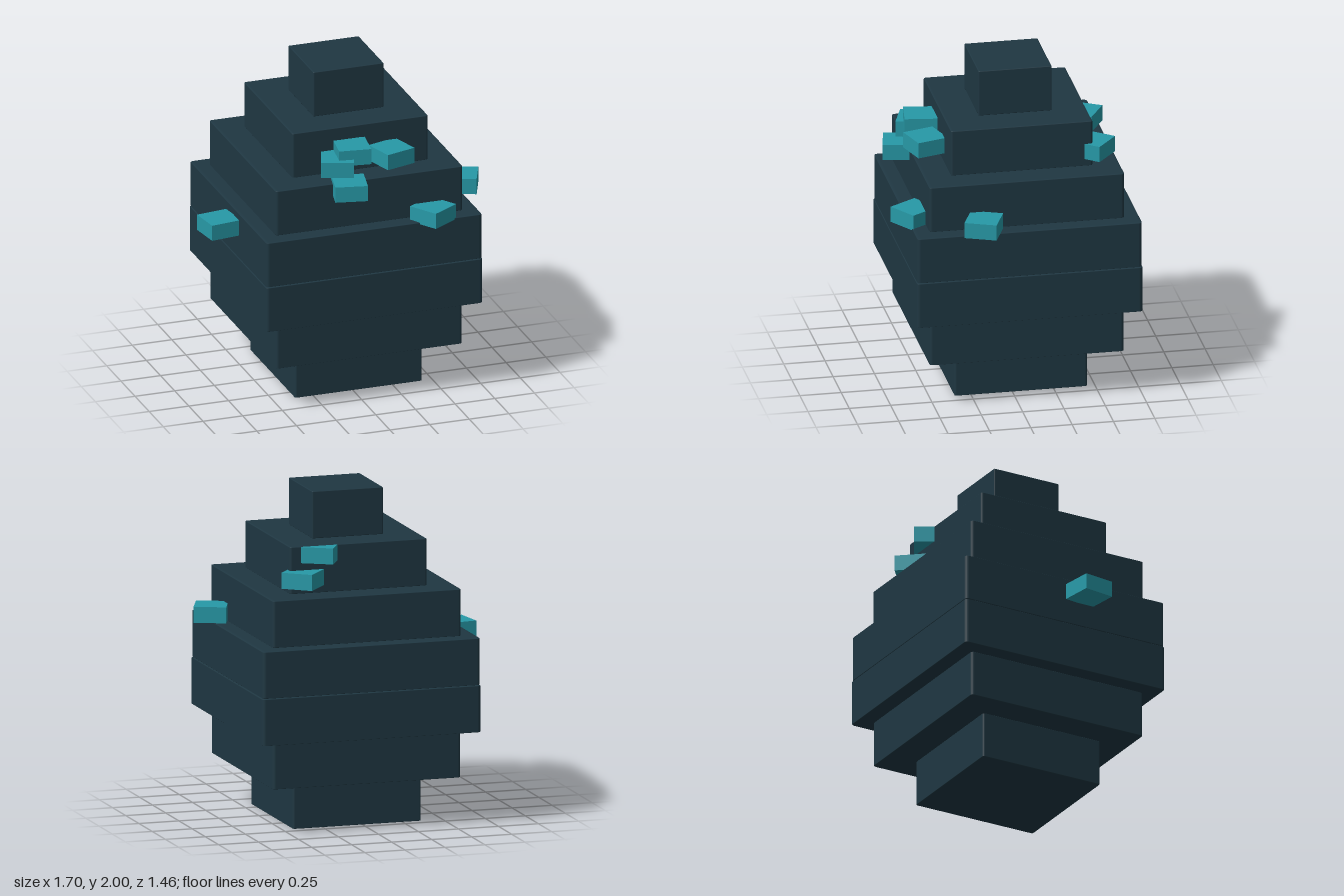
import * as THREE from 'three';
import { RoundedBoxGeometry } from 'three/addons/geometries/RoundedBoxGeometry.js';

export function createModel() {
  const model = new THREE.Group();
  model.name = 'steppedEgg';
  const shellMaterial = new THREE.MeshStandardMaterial({ color: 0x1f3742 });
  const chipMaterial = new THREE.MeshStandardMaterial({ color: 0x2799a7 });

  // Stacked square tiers, bottom to top: one softened unit block scaled to each width
  const tierHeight = 2 / 7;
  const block = new RoundedBoxGeometry(1, 1, 1, 2, 0.016);
  const shell = new THREE.Group();
  shell.name = 'shell';
  shell.position.set(0.035, 0, -0.051);
  [0.802, 1.175, 1.366, 1.36, 1.18, 0.857, 0.443].forEach((width, i) => {
    const tier = new THREE.Mesh(block, shellMaterial);
    tier.name = `tier${i + 1}`;
    tier.scale.set(width, tierHeight, width);
    tier.position.y = (i + 0.5) * tierHeight;
    shell.add(tier);
  });
  model.add(shell);

  // Flat chips set into the shell at odd angles: x, y, z, turn about y
  const chipGeometry = new THREE.BoxGeometry(0.195, 0.097, 0.195);
  const chips = new THREE.Group();
  chips.name = 'chips';
  [
    [-0.74, 1.053, 0.057, 0.14],
    [0.723, 1.204, 0.23, -0.395],
    [0.416, 1.18, 0.593, 0.57],
    [0.195, 1.544, 0.48, 0.29],
    [-0.048, 1.586, 0.464, -0.14],
    [-0.145, 1.527, 0.482, -0.34],
    [-0.105, 1.405, 0.58, -0.21],
    [0.39, 1.522, -0.495, -0.686],
    [0.264, 1.664, -0.45, -0.53],
  ].forEach(([x, y, z, turn], i) => {
    const chip = new THREE.Mesh(chipGeometry, chipMaterial);
    chip.name = `chip${i + 1}`;
    chip.position.set(x, y, z);
    chip.rotation.y = turn;
    chips.add(chip);
  });
  model.add(chips);

  return model;
}
